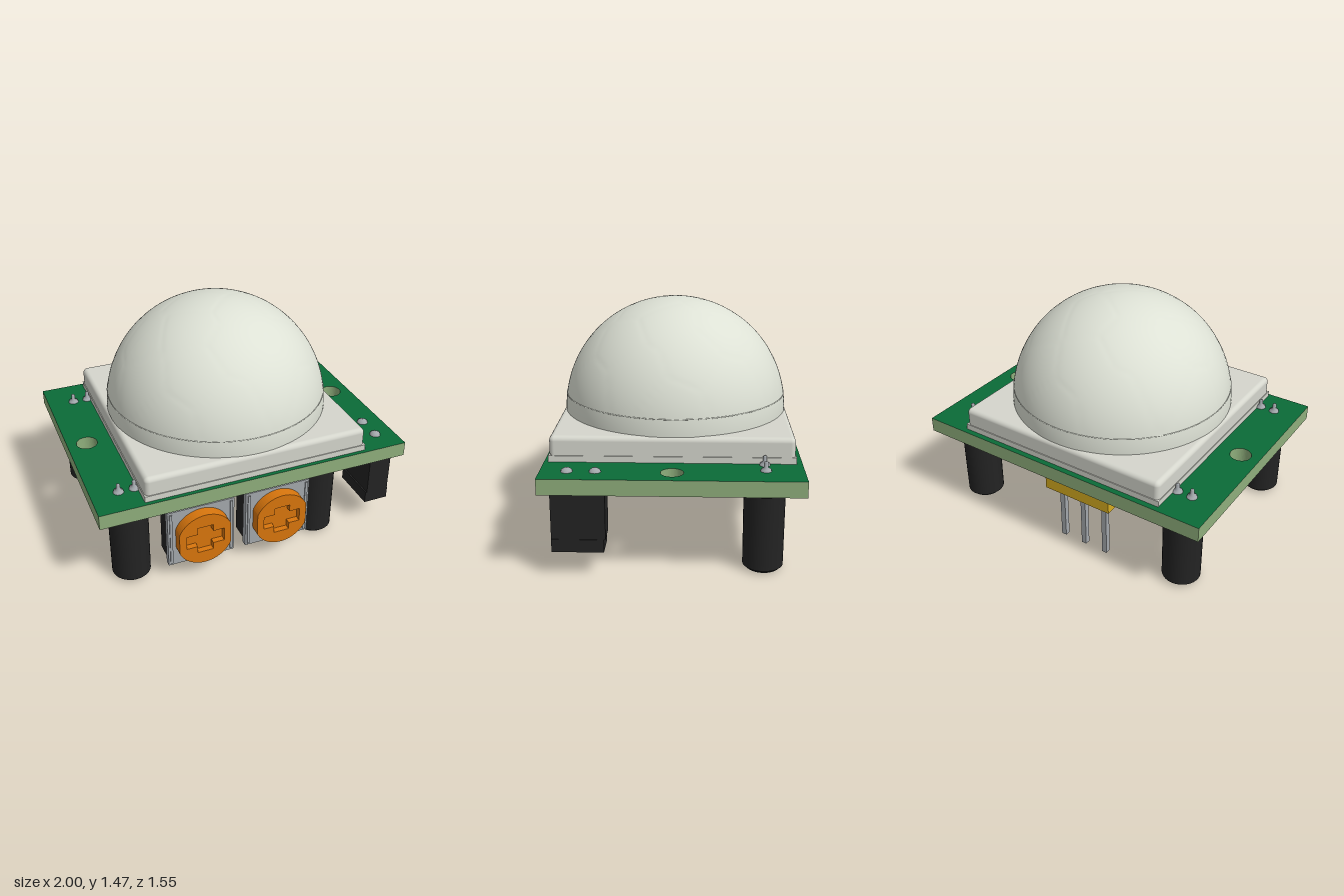
import * as THREE from 'three';
import { RoundedBoxGeometry } from 'three/addons/geometries/RoundedBoxGeometry.js';

const mat = (name, color) => Object.assign(new THREE.MeshStandardMaterial({ color }), { name });

export function createModel() {
  const model = new THREE.Group();
  model.name = 'motionSensor';
  const green = mat('boardGreen', 0x0b6b38);
  const edge = mat('boardEdge', 0x8fae7c);
  const lens = mat('lensWhite', 0xdde1d5);
  const base = mat('baseWhite', 0xd5d6cd);
  const black = mat('blackPlastic', 0x232323);
  const orange = mat('orangeKnob', 0xd9760d);
  const yellow = mat('yellowHeader', 0xd4ab20);
  const metal = mat('metal', 0xa3a8ac);
  const brown = mat('ceramicBrown', 0x6e4a38);
  const grey = mat('darkGrey', 0x4a4f50);

  const add = (name, geo, material, x = 0, y = 0, z = 0, parent = model) => {
    const m = new THREE.Mesh(geo, material);
    m.name = name;
    m.position.set(x, y, z);
    parent.add(m);
    return m;
  };
  // Box given by its limits on each axis
  const box = (name, material, [x0, x1], [y0, y1], [z0, z1], parent) =>
    add(name, new THREE.BoxGeometry(x1 - x0, y1 - y0, z1 - z0), material,
      (x0 + x1) / 2, (y0 + y1) / 2, (z0 + z1) / 2, parent);
  const lathe = (pts, seg = 32) =>
    new THREE.LatheGeometry(pts.map(p => new THREE.Vector2(...p)), seg);

  // Circuit board with two mounting holes
  const outline = new THREE.Shape([[-1, -0.725], [1, -0.725], [1, 0.775], [-1, 0.775]]
    .map(p => new THREE.Vector2(...p)));
  for (const x of [-0.875, 0.875]) {
    outline.holes.push(new THREE.Path().absarc(x, 0.025, 0.066, 0, Math.PI * 2, true));
  }
  const boardGeo = new THREE.ExtrudeGeometry(outline, { depth: 0.095, bevelEnabled: false, curveSegments: 24 });
  boardGeo.rotateX(-Math.PI / 2);
  add('circuitBoard', boardGeo, [green, edge], 0, 0.517, 0);

  // Square lens base
  add('lensBase', new RoundedBoxGeometry(1.43, 0.152, 1.43, 4, 0.03), base, 0, 0.689, -0.02);
  box('lensBaseLip', base, [-0.72, 0.72], [0.612, 0.65], [-0.74, 0.7]);

  // Dome with faint creases between scattered lens cells
  const cells = [];
  for (let i = 0; i < 26; i++) {
    const h = 0.2 + 0.8 * (i + 0.5) / 26, r = Math.sqrt(1 - h * h), a = i * 2.39996;
    cells.push(new THREE.Vector3(r * Math.cos(a), h, r * Math.sin(a)));
  }
  const domeGeo = new THREE.SphereGeometry(0.708, 128, 56, 0, Math.PI * 2, 0, Math.PI / 2);
  const pos = domeGeo.attributes.position, v = new THREE.Vector3();
  for (let i = 0; i < pos.count; i++) {
    v.fromBufferAttribute(pos, i).normalize();
    const d = cells.map(c => c.distanceTo(v)).sort((a, b) => a - b);
    const crease = v.y > 0.16 ? Math.max(0, 1 - (d[1] - d[0]) / 0.06) : 0;
    v.multiplyScalar(0.708 - 0.0012 * crease);
    pos.setXYZ(i, v.x, v.y, v.z);
  }
  domeGeo.computeVertexNormals();
  add('lensDome', domeGeo, lens, 0, 0.763, -0.02);
  add('domeSeam', lathe([[0.699, 0.864], [0.703, 0.866], [0.7015, 0.87], [0.697, 0.872]], 96), lens, 0, 0, -0.02);

  // Standoffs with a cross-slotted screw underneath and two studs above
  const standoffGeo = lathe([[0, 0.006], [0.1, 0.006], [0.1, 0.006], [0.119, 0.022], [0.119, 0.022],
    [0.121, 0.475], [0.121, 0.475], [0.128, 0.48], [0.128, 0.48], [0.128, 0.517]]);
  const studGeo = lathe([[0.032, 0], [0.028, 0.012], [0.013, 0.022], [0.012, 0.052], [0.006, 0.058], [0, 0.058]], 16);
  for (const [x, z] of [[-0.785, 0.545], [0.465, 0.545], [0.785, -0.555], [-0.785, -0.555]]) {
    const g = new THREE.Group();
    g.name = 'standoff';
    g.position.set(x, 0, z);
    model.add(g);
    add('post', standoffGeo, black, 0, 0, 0, g);
    add('screwFace', new THREE.CylinderGeometry(0.098, 0.098, 0.005, 32), grey, 0, 0.0045, 0, g);
    box('slotAcross', black, [-0.06, 0.06], [0, 0.004], [-0.007, 0.007], g);
    box('slotAlong', black, [-0.007, 0.007], [0, 0.004], [-0.06, 0.06], g);
    if (x !== 0.465) {
      for (const s of [-0.048, 0.048]) add('stud', studGeo, metal, s, 0.612, 0, g);
    }
  }

  // Trimmer potentiometers with cross-slotted knobs
  const knobOutline = () => {
    const pts = [];
    for (let i = 0; i < 72; i++) {
      const a = i / 72 * Math.PI * 2;
      pts.push(new THREE.Vector2(THREE.MathUtils.clamp(0.178 * Math.cos(a), -0.164, 0.164), 0.178 * Math.sin(a)));
    }
    return new THREE.Shape(pts);
  };
  const cross = [[0.12, 0.045], [0.05, 0.045], [0.05, 0.092], [-0.05, 0.092], [-0.05, 0.045], [-0.12, 0.045],
    [-0.12, -0.045], [-0.05, -0.045], [-0.05, -0.092], [0.05, -0.092], [0.05, -0.045], [0.12, -0.045]];
  const knobFace = knobOutline();
  knobFace.holes.push(new THREE.Path(cross.map(p => new THREE.Vector2(...p))));
  const extrude = (shape, depth) => new THREE.ExtrudeGeometry(shape, { depth, bevelEnabled: false });
  const blobGeo = new THREE.SphereGeometry(0.028, 12, 8);
  for (const x of [-0.38, 0.123]) {
    const g = new THREE.Group();
    g.name = 'trimmer';
    g.position.x = x;
    model.add(g);
    box('body', black, [-0.2, 0.2], [0.11, 0.5], [0.53, 0.67], g);
    box('facePlate', metal, [-0.213, 0.213], [0.1, 0.495], [0.665, 0.705], g);
    for (const s of [-1, 1]) {
      box('plateRib', metal, [s * 0.193 - 0.008, s * 0.193 + 0.008], [0.115, 0.48], [0.7, 0.712], g);
    }
    add('knob', extrude(knobOutline(), 0.035), orange, 0, 0.298, 0.703, g);
    add('knobFace', extrude(knobFace, 0.037), orange, 0, 0.298, 0.738, g);
    for (const s of [-0.11, 0, 0.11]) {
      box('rearPin', metal, [s - 0.01, s + 0.01], [0.21, 0.23], [0.46, 0.54], g);
      add('solder', blobGeo, metal, s, 0.512, 0.49, g);
    }
  }

  // Three-pin header at the back
  box('pinHeader', yellow, [-0.36, 0.11], [0.385, 0.517], [-0.715, -0.565]);
  for (const x of [-0.285, -0.128, 0.03]) {
    box('headerPin', metal, [x - 0.017, x + 0.017], [0.003, 0.4], [-0.657, -0.623]);
  }

  // Jumper block and its solder points on top
  box('jumperBlock', black, [0.8, 0.95], [0.23, 0.517], [0.35, 0.66]);
  box('jumperCap', black, [0.79, 0.953], [0.152, 0.23], [0.36, 0.66]);
  const solderGeo = lathe([[0.034, 0], [0.03, 0.012], [0.014, 0.022], [0, 0.024]], 16);
  for (const z of [0.41, 0.57]) add('jumperSolder', solderGeo, metal, 0.872, 0.612, z);

  // Main chip with eight legs on each side
  box('mainChip', black, [0.33, 0.59], [0.425, 0.505], [-0.39, 0.23]);
  for (let i = 0; i < 8; i++) {
    const z = 0.165 - i * 0.073;
    for (const s of [-1, 1]) {
      const cx = 0.46 + s * 0.15, fx = 0.46 + s * 0.18;
      box('chipLeg', metal, [cx - 0.025, cx + 0.025], [0.465, 0.48], [z - 0.015, z + 0.015]);
      box('chipFoot', metal, [fx - 0.025, fx + 0.025], [0.475, 0.517], [z - 0.015, z + 0.015]);
    }
  }

  // Regulator chip
  box('regulator', black, [-0.62, -0.37], [0.425, 0.517], [-0.2, 0.0]);
  for (const x of [-0.58, -0.495, -0.41]) {
    box('regulatorLeg', metal, [x - 0.02, x + 0.02], [0.49, 0.517], [-0.03, 0.04]);
  }

  // Small surface parts with metal ends: x, z, length along x, depth, colour
  const smallParts = [[0.79, -0.265, 0.1, 0.07, brown], [-0.2, -0.23, 0.1, 0.07, brown],
    [-0.48, -0.27, 0.1, 0.07, brown], [0.82, 0.17, 0.1, 0.07, black], [-0.11, 0.015, 0.1, 0.07, black],
    [0.11, 0.01, 0.1, 0.07, black], [0.225, -0.63, 0.1, 0.07, black], [-0.5, -0.6, 0.1, 0.07, black],
    [0.06, -0.3, 0.1, 0.07, black], [-0.2, 0.25, 0.1, 0.07, brown]];
  for (const [x, z, w, d, m] of smallParts) {
    box('surfacePart', m, [x - w / 2, x + w / 2], [0.475, 0.517], [z - d / 2, z + d / 2]);
    for (const s of [-1, 1]) {
      const e = x + s * (w / 2 + 0.012);
      box('partEnd', metal, [e - 0.014, e + 0.014], [0.48, 0.517], [z - d / 2, z + d / 2]);
    }
  }
  return model;
}
